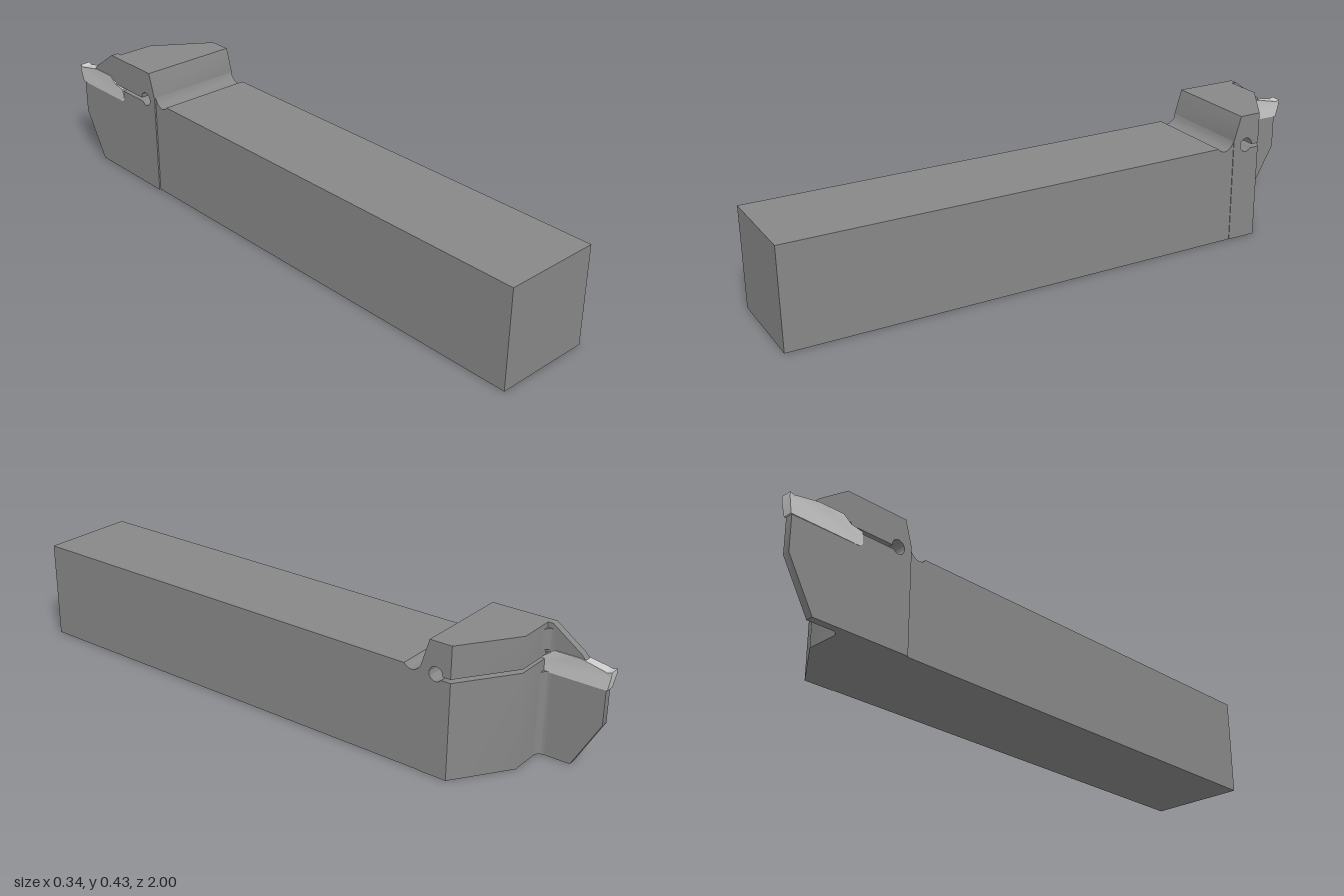
import * as THREE from 'three';
import { toCreasedNormals } from 'three/addons/utils/BufferGeometryUtils.js';

const steel = new THREE.MeshStandardMaterial({ color: 0x888888 });
const carbide = new THREE.MeshStandardMaterial({ color: 0xcccccc });

// Faces of the holder
const LEFT = -0.167, RIGHT = 0.17, BLADE = -0.142;
const WEDGE = -0.66, FACE = -0.785; // where the bevel starts and ends in z
const SLIT_LOW = 0.316, SLIT_HIGH = 0.328;

const outline = (points) => new THREE.Shape(points.map(([a, b]) => new THREE.Vector2(a, b)));

// Extrudes a (z, y) side profile from x0 to x1; bend may shift the vertices
function slab(name, shape, x0, x1, bend, material = steel) {
  const g = new THREE.ExtrudeGeometry(shape, { depth: x1 - x0, bevelEnabled: false, curveSegments: 28 });
  g.rotateY(-Math.PI / 2).translate(x1, 0, 0);
  if (bend) {
    const p = g.attributes.position, v = new THREE.Vector3();
    for (let i = 0; i < p.count; i++) {
      bend(v.fromBufferAttribute(p, i));
      p.setXYZ(i, v.x, v.y, v.z);
    }
  }
  const mesh = new THREE.Mesh(toCreasedNormals(g, 0.7), material);
  mesh.name = name;
  return mesh;
}

// Concave fillet column between the blade and the head face
function fillet(y0, y1) {
  const r = 0.024;
  const s = new THREE.Shape();
  s.moveTo(BLADE - 0.005, -FACE - 0.005);
  s.lineTo(BLADE + r, -FACE - 0.005);
  s.lineTo(BLADE + r, -FACE);
  s.absarc(BLADE + r, -FACE + r, r, -Math.PI / 2, -Math.PI, true);
  s.lineTo(BLADE - 0.005, -FACE + r);
  const g = new THREE.ExtrudeGeometry(s, { depth: y1 - y0, bevelEnabled: false, curveSegments: 8 });
  g.rotateX(-Math.PI / 2).translate(0, y0, 0);
  const mesh = new THREE.Mesh(toCreasedNormals(g, 0.7), steel);
  mesh.name = 'bladeFillet';
  return mesh;
}

export function createModel() {
  const group = new THREE.Group();
  group.name = 'partingToolHolder';

  // Shank with the rounded groove in front of the head
  group.add(slab('shank', outline([
    [1, 0], [1, 0.333], [-0.5, 0.333], [-0.506, 0.326], [-0.515, 0.321], [-0.526, 0.319],
    [-0.538, 0.322], [-0.548, 0.329], [-0.555, 0.338], [-0.56, 0.349], [-0.56, 0],
  ]), -0.162, 0.168));

  // Head root, with the clamping slit ending in a round relief hole
  const r = 0.023, hy = 0.33;
  const root = new THREE.Shape();
  root.moveTo(-0.56, 0);
  root.lineTo(-0.56, 0.349);
  root.lineTo(-0.585, 0.432);
  root.lineTo(WEDGE, 0.432);
  root.lineTo(WEDGE, SLIT_HIGH);
  root.absarc(-0.61, hy, r, Math.PI + Math.asin((hy - SLIT_HIGH) / r),
    -Math.PI + Math.asin((hy - SLIT_LOW) / r), true);
  root.lineTo(WEDGE, SLIT_LOW);
  root.lineTo(WEDGE, 0);
  group.add(slab('headRoot', root, LEFT, RIGHT));

  // Bevelled jaws above and below the slit
  const bevel = (v) => {
    if (v.x > 0) v.x = THREE.MathUtils.mapLinear(v.z, WEDGE, FACE, RIGHT, -0.015);
  };
  for (const [name, y0, y1] of [['lowerJaw', 0, SLIT_LOW], ['upperJaw', SLIT_HIGH, 0.432]]) {
    group.add(slab(name, outline([[WEDGE, y0], [WEDGE, y1], [FACE, y1], [FACE, y0]]), LEFT, RIGHT, bevel));
  }

  // Thin blade below the insert and clamping finger above it
  group.add(slab('blade', outline([
    [FACE, 0], [FACE, 0.28], [-0.985, 0.28], [-0.985, 0.16], [-0.895, 0],
  ]), LEFT, BLADE));
  group.add(slab('clampFinger', outline([
    [FACE, 0.335], [FACE, 0.432], [-0.802, 0.432], [-0.9, 0.362], [-0.915, 0.346], [-0.82, 0.346],
  ]), LEFT, BLADE));
  group.add(fillet(0, 0.277), fillet(0.348, 0.415));

  // Cutting insert, widening towards its edge and narrowing downwards
  const flare = (v) => {
    const side = v.x > -0.155 ? 1 : -1;
    const half = v.z < -0.96 ? 0.0185 : 0.0155;
    v.x = -0.1545 + side * half * (v.y < 0.3 ? 0.85 : 1);
  };
  group.add(slab('cuttingInsert', outline([
    [-0.74, 0.285], [-0.745, 0.322], [-0.785, 0.328], [-0.815, 0.35], [-0.9, 0.35],
    [-0.97, 0.336], [-0.985, 0.332], [-1, 0.337], [-0.999, 0.32], [-0.99, 0.275], [-0.75, 0.275],
  ]), -0.17, -0.139, flare, carbide));

  return group;
}
